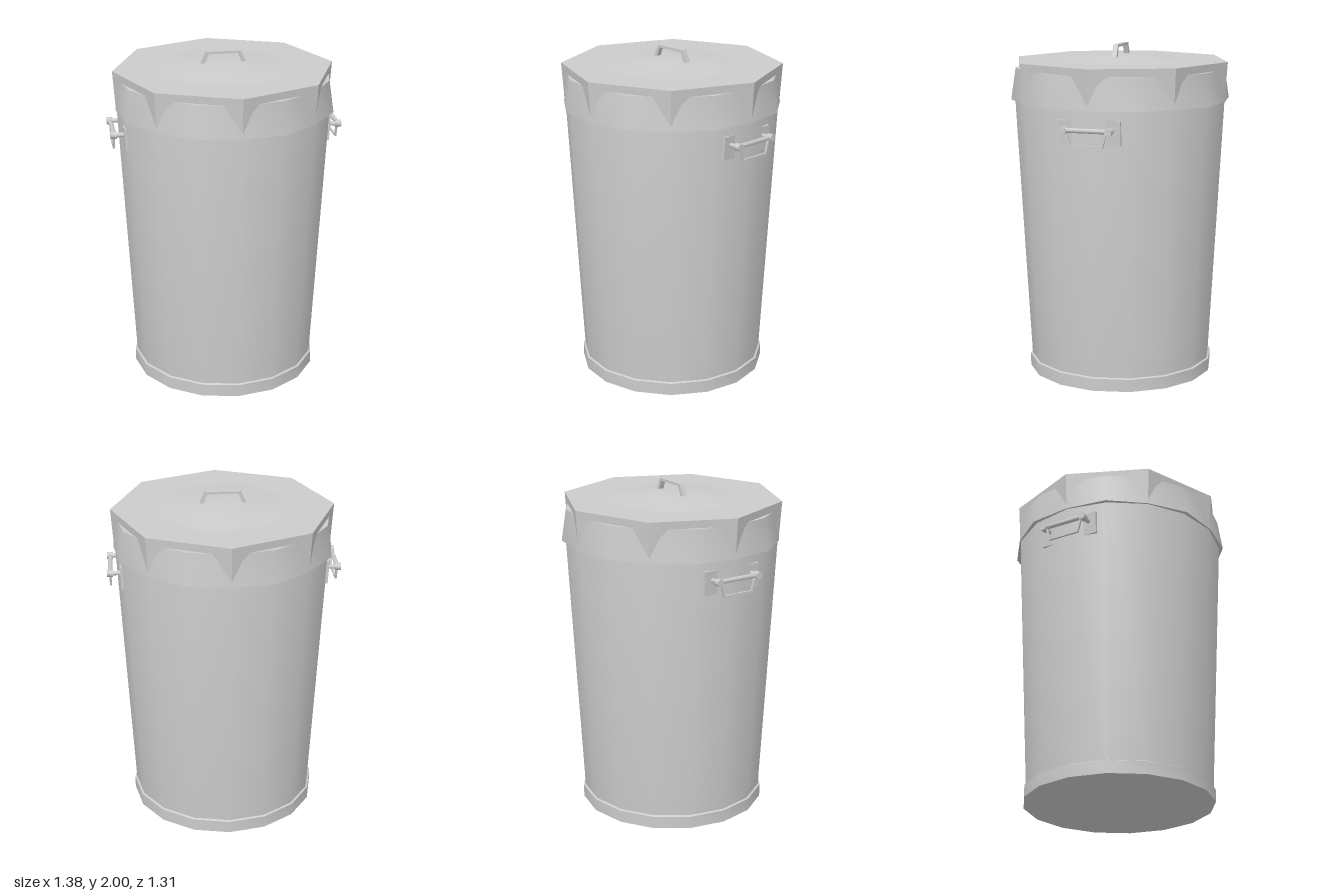
import * as THREE from 'three';
import { toCreasedNormals } from 'three/addons/utils/BufferGeometryUtils.js';

const material = new THREE.MeshStandardMaterial({ color: 0xcccccc, side: THREE.DoubleSide });

function add(parent, name, geometry, x = 0, y = 0, z = 0) {
  const mesh = new THREE.Mesh(geometry, material);
  mesh.name = name;
  mesh.position.set(x, y, z);
  parent.add(mesh);
  return mesh;
}

// Turned part from [radius, height] pairs, listed from bottom to top
function turned(profile, sides) {
  const points = profile.map(([r, y]) => new THREE.Vector2(r, y));
  return toCreasedNormals(new THREE.LatheGeometry(points, sides), 0.6);
}

// Flat trapezoid frame, centred on its thickness
function trapezoidFrame(outer, inner, depth) {
  const toPoints = (list) => list.map(([x, y]) => new THREE.Vector2(x, y));
  const shape = new THREE.Shape(toPoints(outer));
  if (inner) shape.holes.push(new THREE.Path(toPoints(inner)));
  const geometry = new THREE.ExtrudeGeometry(shape, { depth, bevelEnabled: false });
  return geometry.translate(0, 0, -depth / 2);
}

// Collar under the lid: its lower edge flares at every second corner
function collarGeometry() {
  const points = [[0.61, 1.67], [0.645, 1.67], [0.632, 1.86], [0.56, 1.86]].map(([r, y]) => new THREE.Vector2(r, y));
  const geometry = new THREE.LatheGeometry(points, 16);
  const p = geometry.attributes.position;
  for (let i = 0; i < p.count; i++) {
    const corner = Math.floor(i / points.length);
    if (corner % 2 === 1 && i % points.length === 1) {
      p.setXYZ(i, p.getX(i) * 1.025, p.getY(i), p.getZ(i) * 1.025);
    }
  }
  return toCreasedNormals(geometry, 0.6);
}

// Side handle for the +x side
function sideHandle() {
  const handle = new THREE.Group();
  const plate = add(handle, 'handlePlate', new THREE.BoxGeometry(0.035, 0.14, 0.37), 0.592, 1.545, 0);
  plate.rotation.z = -0.05;
  for (const z of [-0.135, 0.135]) {
    const peg = new THREE.CylinderGeometry(0.014, 0.014, 0.1, 8).rotateZ(Math.PI / 2);
    add(handle, 'handlePeg', peg, 0.61, 1.56, z);
    const knob = new THREE.CylinderGeometry(0.022, 0.022, 0.036, 10).rotateZ(Math.PI / 2);
    add(handle, 'handleKnob', toCreasedNormals(knob, 0.8), 0.67, 1.56, z);
  }
  const bar = new THREE.CylinderGeometry(0.014, 0.014, 0.26, 8).rotateX(Math.PI / 2);
  add(handle, 'handleBar', bar, 0.668, 1.562, 0);
  const loop = trapezoidFrame(
    [[-0.125, 1.56], [-0.1, 1.467], [0.1, 1.467], [0.125, 1.56]],
    [[-0.113, 1.552], [-0.091, 1.478], [0.091, 1.478], [0.113, 1.552]], 0.012);
  add(handle, 'handleLoop', loop.rotateY(Math.PI / 2), 0.668, 0, 0);
  return handle;
}

export function createModel() {
  const can = new THREE.Group();
  can.name = 'trashCan';

  // Tapered body with a base ring
  add(can, 'body', turned([[0, 0.01], [0.55, 0.01], [0.638, 1.7], [0.62, 1.84]], 16));
  add(can, 'baseRing', turned([[0, 0], [0.565, 0], [0.565, 0.075], [0.545, 0.085]], 16));
  add(can, 'collar', collarGeometry());

  // Eight-sided lid with a shallow dome
  const lid = new THREE.Group();
  lid.name = 'lid';
  can.add(lid);
  add(lid, 'lidCap', turned([[0.642, 1.68], [0.657, 1.905], [0, 1.905]], 8));
  const dome = turned([[0.418, 1.904], [0.3, 1.916], [0.15, 1.93], [0, 1.938]], 8);
  add(lid, 'lidDome', dome.rotateY(Math.PI / 8));

  // Lid handle
  add(lid, 'lidHandle', trapezoidFrame(
    [[-0.137, 1.925], [-0.113, 1.925], [-0.09, 1.985], [0.09, 1.985], [0.113, 1.925],
      [0.137, 1.925], [0.103, 2], [-0.103, 2]], null, 0.03));

  // Side handles
  for (const side of ['left', 'right']) {
    const handle = sideHandle();
    handle.name = side + 'Handle';
    if (side === 'right') handle.rotation.y = Math.PI;
    can.add(handle);
  }
  return can;
}
